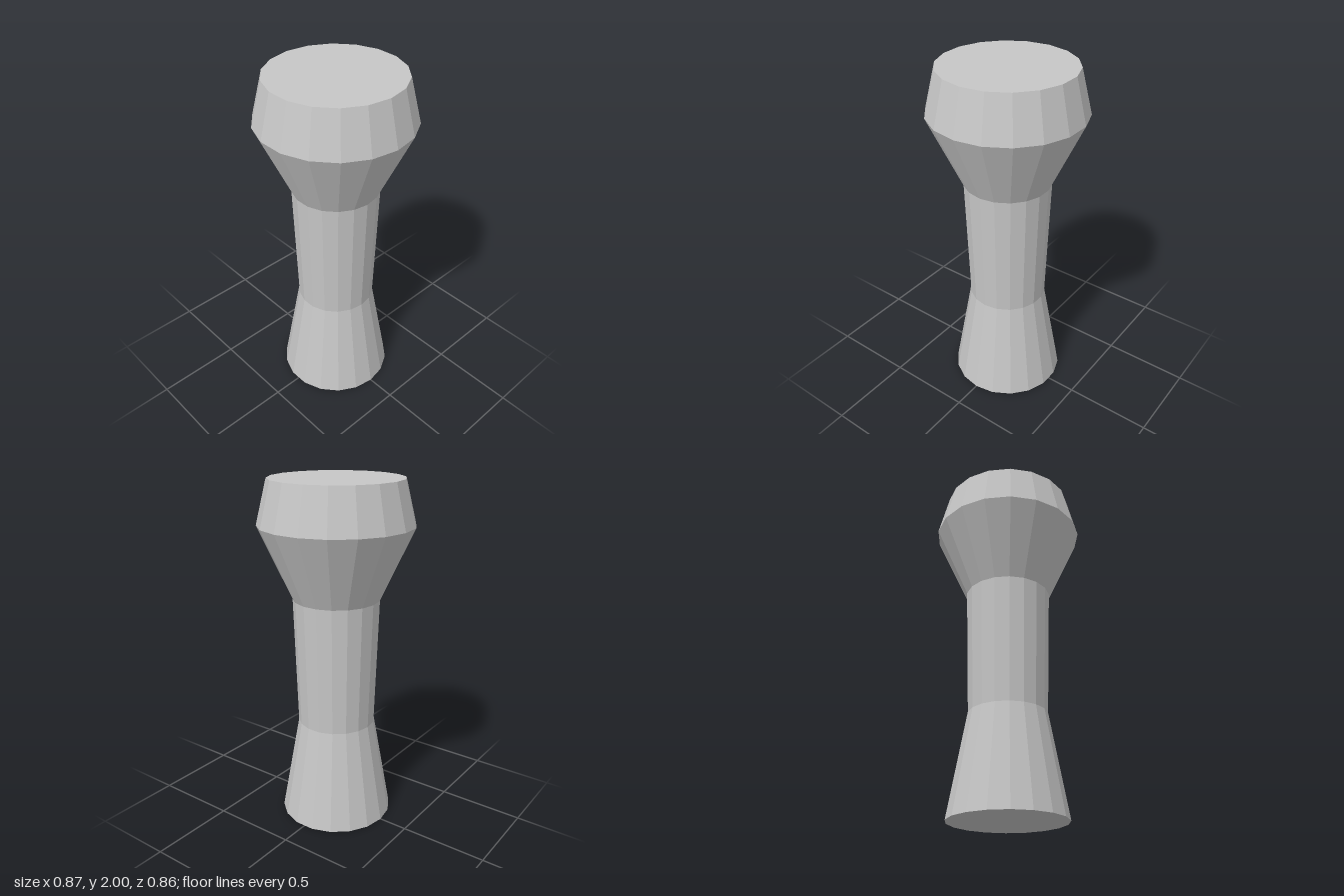
import * as THREE from 'three';

const SIDES = 18;

export function createModel() {
  const group = new THREE.Group();
  group.name = 'pedestal';
  const stone = new THREE.MeshStandardMaterial({ color: 0xc6c6c6, flatShading: true });
  stone.name = 'light grey';

  // Faceted turned section; a corner of the polygon points along +x
  const addSection = (name, profile) => {
    const points = profile.map(([r, y]) => new THREE.Vector2(r, y));
    const mesh = new THREE.Mesh(new THREE.LatheGeometry(points, SIDES, Math.PI / 2), stone);
    mesh.name = name;
    group.add(mesh);
  };

  // Flared foot with closed underside
  addSection('base', [[0, 0], [0.33, 0], [0.225, 0.59]]);
  // Slightly widening column
  addSection('shaft', [[0.225, 0.59], [0.248, 1.335]]);
  // Flared head with bevelled rim and flat top
  addSection('head', [[0.248, 1.335], [0.437, 1.75], [0.375, 2], [0, 2]]);

  return group;
}
